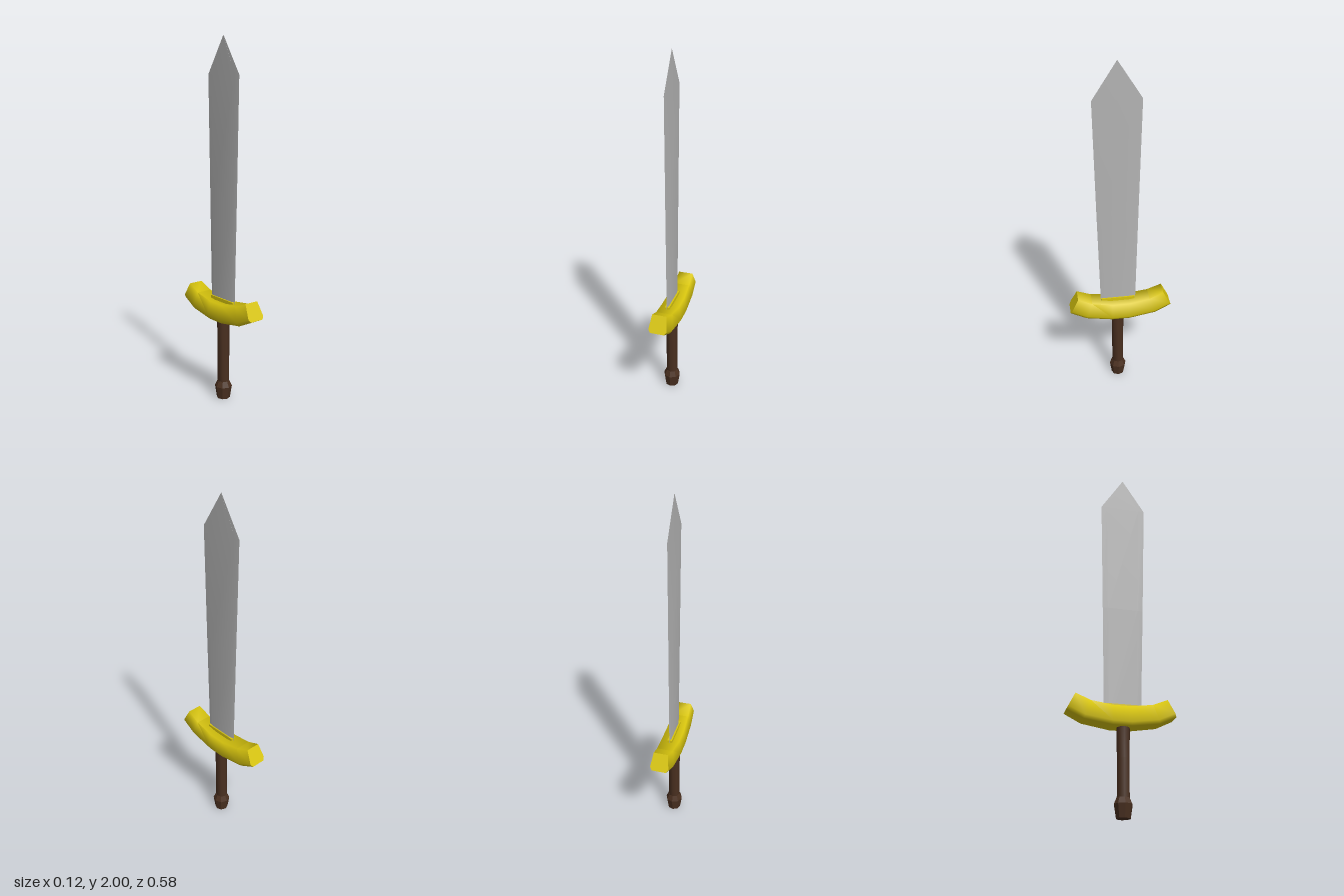
import * as THREE from 'three';
import { toCreasedNormals } from 'three/addons/utils/BufferGeometryUtils.js';

// Skin a list of rings (counter-clockwise seen from the far end) and cap both ends
function loft(rings, crease) {
  const n = rings[0].length, last = (rings.length - 1) * n, index = [];
  for (let i = 0; i < rings.length - 1; i++) {
    for (let j = 0; j < n; j++) {
      const k = (j + 1) % n, a = i * n + j, b = i * n + k, c = b + n, d = a + n;
      index.push(a, b, c, a, c, d);
    }
  }
  for (let j = 1; j < n - 1; j++) {
    index.push(0, j + 1, j, last, last + j, last + j + 1);
  }
  const g = new THREE.BufferGeometry();
  g.setAttribute('position', new THREE.Float32BufferAttribute(rings.flat(2), 3));
  g.setIndex(index);
  return toCreasedNormals(g, crease);
}

export function createModel() {
  const material = (name, color) => {
    const m = new THREE.MeshStandardMaterial({ color });
    m.name = name;
    return m;
  };
  const steel = material('steel', 0xb4b4b4);
  const gold = material('gold', 0xd9c60e);
  const wood = material('dark wood', 0x4a3020);

  const sword = new THREE.Group();
  sword.name = 'sword';
  const add = (name, geometry, mat) => {
    const mesh = new THREE.Mesh(geometry, mat);
    mesh.name = name;
    sword.add(mesh);
    return mesh;
  };

  // Blade: thin six-sided sections of [y, front edge z, back edge z, half thickness]
  const bladeRings = [
    [0.53, 0.11, -0.088, 0.006],
    [1.14, 0.126, -0.1, 0.004],
    [1.8, 0.141, -0.114, 0.0015],
    [2.0, 0.0135, 0.0125, 0.0005],
  ].map(([y, f, b, t]) => {
    const bevel = (f - b) * 0.13;
    return [[t, y, f - bevel], [t, y, b + bevel], [0, y, b],
      [-t, y, b + bevel], [-t, y, f - bevel], [0, y, f]];
  });
  add('blade', loft(bladeRings, 0.6), steel).position.x = -0.003;

  // Crossguard: curved bar of [bottom z, bottom y, top z, top y, half width], mirrored
  const half = [
    [0.05, 0.46, 0.05, 0.565, 0.062],
    [0.2, 0.483, 0.165, 0.583, 0.057],
    [0.29, 0.527, 0.245, 0.618, 0.052],
  ];
  const mirrored = half.map(([zb, yb, zt, yt, w]) => [-zb, yb, -zt, yt, w]).reverse();
  const guardRings = [...mirrored, ...half].map(([zb, yb, zt, yt, w]) => {
    const at = (x, t) => [x, yb + (yt - yb) * t, zb + (zt - zb) * t];
    return [at(w, 0.18), at(w - 0.011, 1), at(0.011 - w, 1),
      at(-w, 0.18), at(0.012 - w, 0), at(w - 0.012, 0)];
  });
  add('crossguard', loft(guardRings, 1.45), gold);

  // Small collar where the blade meets the guard
  add('collar', new THREE.BoxGeometry(0.026, 0.05, 0.19), gold).position.set(-0.003, 0.56, 0.012);

  // Grip and pommel: eight-sided turned shapes
  const turned = (name, points, crease) => {
    const lathe = new THREE.LatheGeometry(points.map(([r, y]) => new THREE.Vector2(r, y)), 8);
    lathe.deleteAttribute('normal');
    lathe.deleteAttribute('uv');
    add(name, toCreasedNormals(lathe, crease), wood).position.set(-0.003, 0, 0.014);
  };
  turned('grip', [[0.033, 0.08], [0.033, 0.3], [0.036, 0.5]], 0.9);
  turned('pommel', [[0, 0], [0.037, 0], [0.048, 0.07], [0.034, 0.102], [0, 0.105]], 0.5);

  return sword;
}
